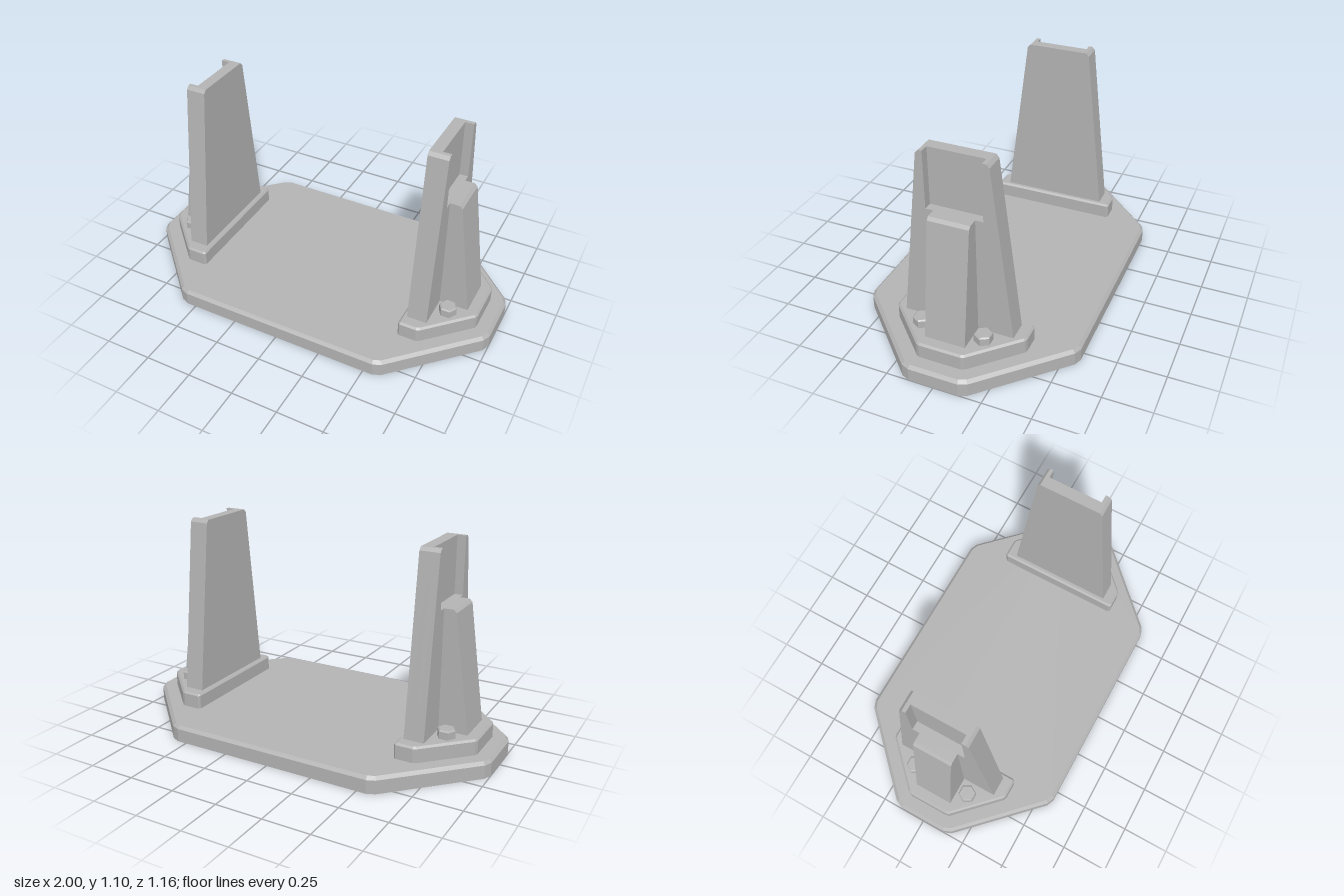
import * as THREE from 'three';

const grey = new THREE.MeshStandardMaterial({ color: 0xb3b3b3 });
grey.name = 'grey';

function part(name, geometry) {
  const mesh = new THREE.Mesh(geometry, grey);
  mesh.name = name;
  return mesh;
}

// Replace each corner of a polygon with a small cut of length r.
function cutCorners(pts, r) {
  return pts.flatMap((p, i) => [pts.at(i - 1), pts[(i + 1) % pts.length]].map((q) => {
    const d = Math.hypot(q[0] - p[0], q[1] - p[1]);
    return [p[0] + (q[0] - p[0]) * r / d, p[1] + (q[1] - p[1]) * r / d];
  }));
}

// Move every corner of a convex [x, z] polygon inwards by b.
function inset(pts, b) {
  const n = pts.length;
  const normal = (i) => {
    const p = pts[i], q = pts[(i + 1) % n];
    const dx = q[0] - p[0], dz = q[1] - p[1], l = Math.hypot(dx, dz);
    return [-dz / l, dx / l];
  };
  return pts.map((p, i) => {
    const u = normal((i + n - 1) % n), v = normal(i);
    const k = b / (1 + u[0] * v[0] + u[1] * v[1]);
    return [p[0] + (u[0] + v[0]) * k, p[1] + (u[1] + v[1]) * k];
  });
}

// Upright prism with a chamfered top edge, flat shaded.
function slab(pts, y0, y1, bevel) {
  const ring = (poly, y) => poly.map(([x, z]) => [x, y, z]);
  const rings = [ring(pts, y0), ring(pts, y1 - bevel), ring(inset(pts, bevel), y1)];
  const pos = [];
  const n = pts.length;
  for (let i = 0; i < n; i++) {
    const j = (i + 1) % n;
    for (let k = 0; k < 2; k++) {
      const lo = rings[k], hi = rings[k + 1];
      pos.push(...lo[i], ...hi[i], ...lo[j], ...hi[i], ...hi[j], ...lo[j]);
    }
    if (i > 0 && i < n - 1) {
      pos.push(...rings[2][0], ...rings[2][j], ...rings[2][i]);
      pos.push(...rings[0][0], ...rings[0][i], ...rings[0][j]);
    }
  }
  const g = new THREE.BufferGeometry();
  g.setAttribute('position', new THREE.Float32BufferAttribute(pos, 3));
  g.computeVertexNormals();
  return g;
}

function extrude(pts, depth) {
  const shape = new THREE.Shape(pts.map(([x, y]) => new THREE.Vector2(x, y)));
  return new THREE.ExtrudeGeometry(shape, { depth, bevelEnabled: false });
}

// Extrude a [z, y] outline along x from x0 to x1.
function across(pts, x0, x1) {
  return extrude(pts, x1 - x0).rotateY(Math.PI / 2).translate(x0, 0, 0);
}

function createSupport() {
  const support = new THREE.Group();

  // Foot plate
  const foot = [[0.92, -0.12], [0.92, 0.12], [0.69, 0.35], [0.58, 0.35], [0.58, -0.35], [0.69, -0.35]];
  support.add(part('footPlate', slab(cutCorners(foot, 0.01), 0.085, 0.17, 0.01)));

  // Tapered upright: full web on the inside, notched flanges on the outside
  const right = [[0.29, 0.165], [0.18, 1.08], [0.165, 1.097]];
  const left = right.map(([z, y]) => [-z, y]).reverse();
  support.add(part('uprightWeb', across([...right, ...left], 0.605, 0.665)));
  const notch = [[0.145, 1.097], [0.145, 0.797], [-0.145, 0.797], [-0.145, 1.097]];
  support.add(part('uprightFlanges', across([...right, ...notch, ...left], 0.665, 0.71)));

  // Sloping rib behind the upright
  const rib = [[0.7, 0.165], [0.862, 0.165], [0.775, 0.782], [0.76, 0.797], [0.7, 0.797]];
  support.add(part('rib', extrude(rib, 0.21).translate(0, 0, -0.105)));

  // Hexagonal bolts
  const hex = Array.from({ length: 6 }, (_, i) => {
    const a = i * Math.PI / 3;
    return [0.047 * Math.cos(a), 0.047 * Math.sin(a)];
  });
  for (const z of [-0.163, 0.163]) {
    const bolt = part('bolt', slab(hex, 0.165, 0.215, 0.006));
    bolt.position.set(0.775, 0, z);
    support.add(bolt);
  }
  return support;
}

export function createModel() {
  const model = new THREE.Group();
  model.name = 'twinUprightStand';

  // Eight-sided base
  const base = [[1, -0.155], [1, 0.155], [0.575, 0.58], [-0.575, 0.58],
    [-1, 0.155], [-1, -0.155], [-0.575, -0.58], [0.575, -0.58]];
  model.add(part('base', slab(cutCorners(base, 0.025), 0, 0.087, 0.016)));

  // One support at each end
  for (const [name, turn] of [['leftSupport', 0], ['rightSupport', Math.PI]]) {
    const support = createSupport();
    support.name = name;
    support.rotation.y = turn;
    model.add(support);
  }
  return model;
}
